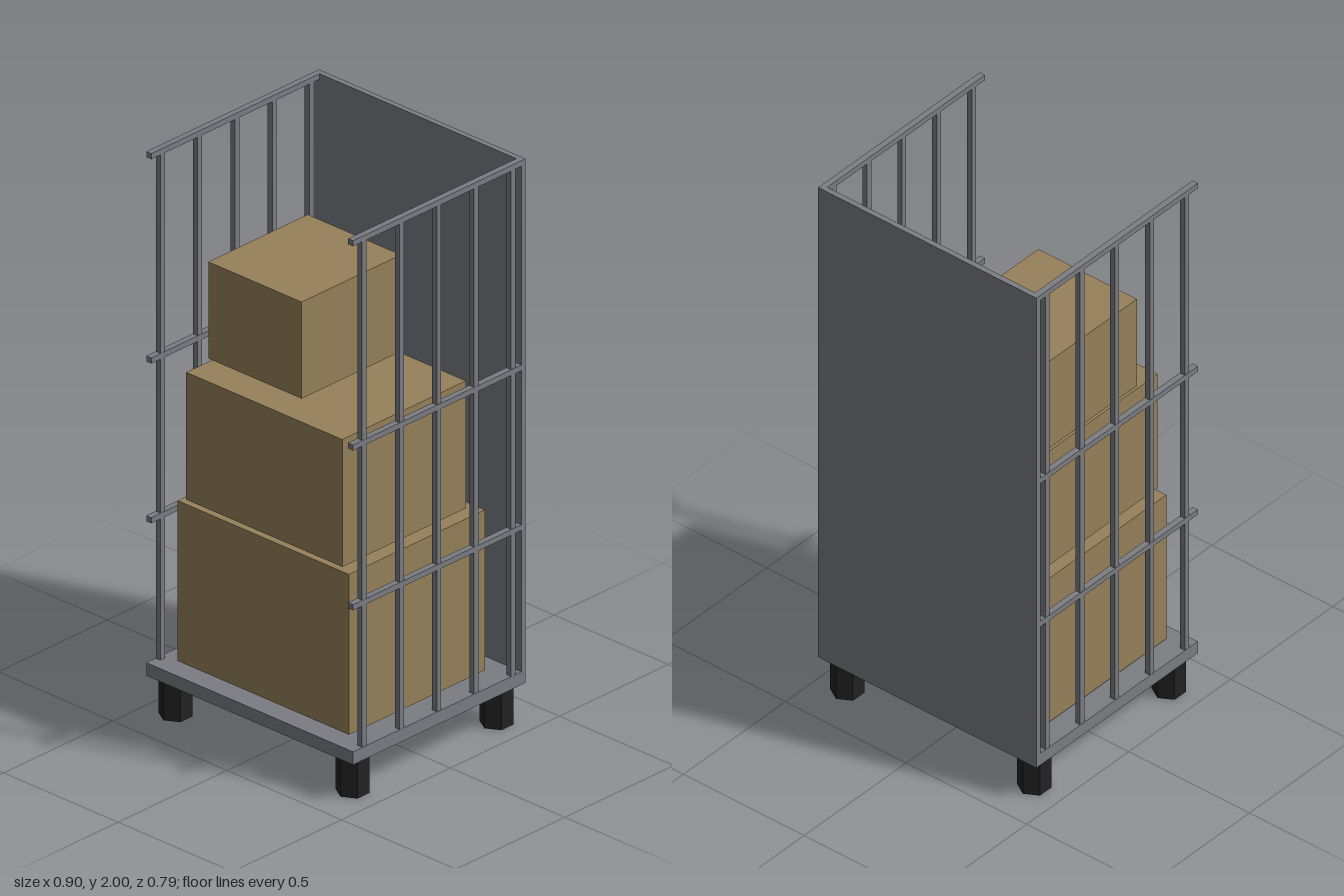
import * as THREE from 'three';

const steel = new THREE.MeshStandardMaterial({ color: 0x7b7d82 });
steel.name = 'steel grey';
const cardboard = new THREE.MeshStandardMaterial({ color: 0x96815a });
cardboard.name = 'cardboard brown';
const rubber = new THREE.MeshStandardMaterial({ color: 0x222222, flatShading: true });
rubber.name = 'black rubber';

// Box given by its minimum and maximum corners
function block(name, material, [x0, y0, z0], [x1, y1, z1]) {
  const mesh = new THREE.Mesh(new THREE.BoxGeometry(x1 - x0, y1 - y0, z1 - z0), material);
  mesh.position.set((x0 + x1) / 2, (y0 + y1) / 2, (z0 + z1) / 2);
  mesh.name = name;
  return mesh;
}

export function createModel() {
  const model = new THREE.Group();
  model.name = 'rollCage';
  const W = 0.452, D = 0.396, BASE = 0.14, DECK = 0.186, TOP = 2, BAR = 0.022;

  // Deck and solid back
  model.add(block('deck', steel, [-W, BASE, -D], [W, DECK, D]));
  model.add(block('backPanel', steel, [-W, DECK, -D], [W, TOP, -D + 0.02]));

  // Barred sides
  for (const side of [1, -1]) {
    const fence = new THREE.Group();
    fence.name = side > 0 ? 'leftFence' : 'rightFence';
    const x = side * (W - BAR / 2);
    for (const z of [-0.34, -0.17, 0.001, 0.172, 0.343]) {
      fence.add(block('upright', steel,
        [x - 0.01, DECK, z - 0.01], [x + 0.01, TOP - 0.01, z + 0.01]));
    }
    for (const y of [0.698, 1.265, TOP - 0.01]) {
      fence.add(block('rail', steel,
        [x - BAR / 2, y - 0.01, -D + 0.02], [x + BAR / 2, y + 0.01, D]));
    }
    model.add(fence);
  }

  // Six-sided feet at the corners
  const footGeometry = new THREE.CylinderGeometry(0.055, 0.055, BASE, 6);
  for (const x of [-0.387, 0.387]) {
    for (const z of [-0.33, 0.33]) {
      const foot = new THREE.Mesh(footGeometry, rubber);
      foot.position.set(x, BASE / 2, z);
      foot.name = 'foot';
      model.add(foot);
    }
  }

  // Stacked cartons
  model.add(block('bottomCarton', cardboard, [-0.375, 0.196, -0.29], [0.374, 0.765, 0.333]));
  model.add(block('middleCarton', cardboard, [-0.342, 0.778, -0.239], [0.34, 1.23, 0.328]));
  model.add(block('topCarton', cardboard, [-0.342, 1.242, -0.229], [0.066, 1.585, 0.227]));

  return model;
}
